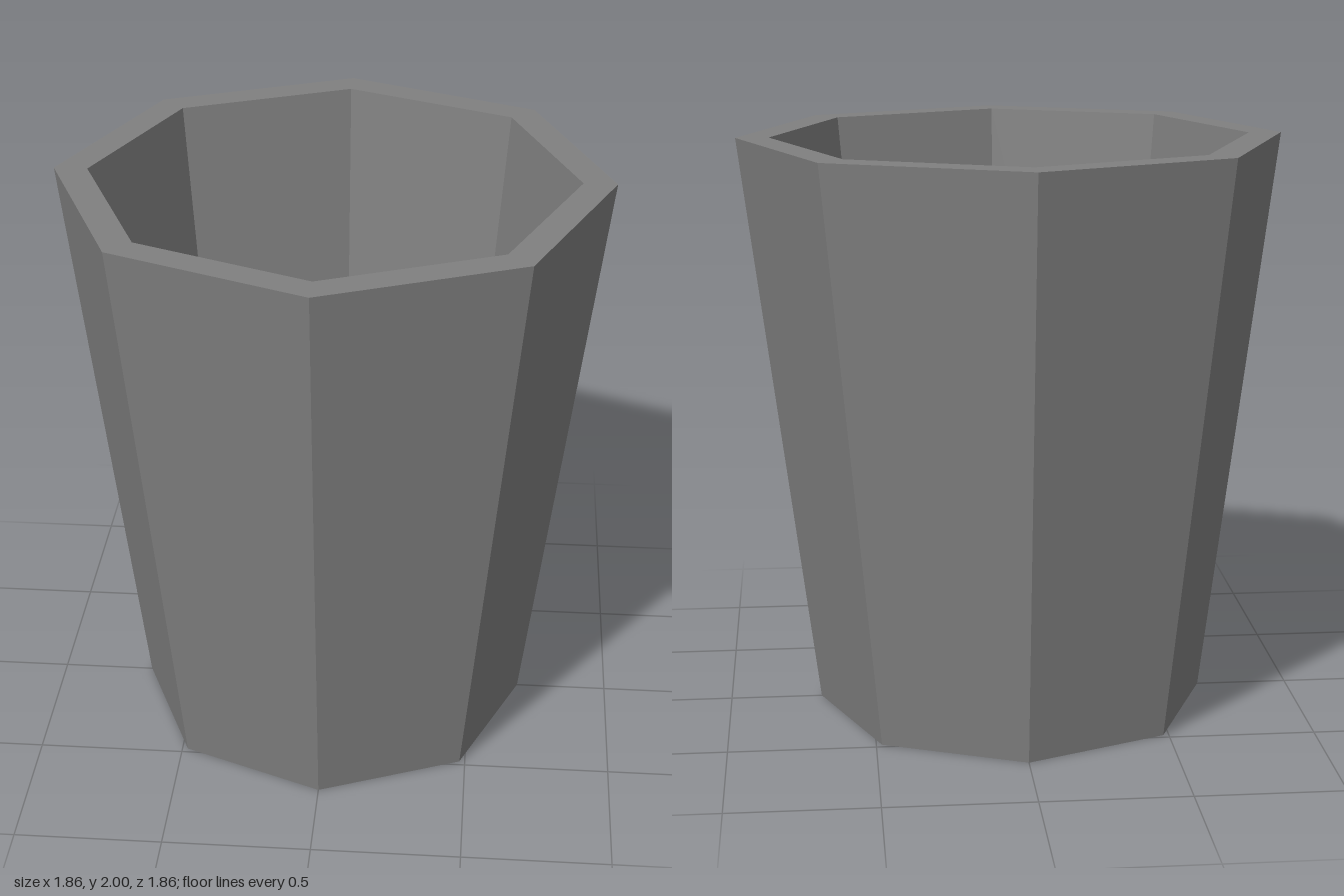
import * as THREE from 'three';

export function createModel() {
  const model = new THREE.Group();
  model.name = 'cup';

  const grey = new THREE.MeshStandardMaterial({ color: 0x808080, flatShading: true });
  grey.name = 'grey';

  // Eight-sided profile: underside, outer wall, rim, inner wall, floor
  const profile = [
    [0, 0], [0.68, 0], [0.93, 2], [0.818, 2], [0.603, 0.06], [0, 0.06],
  ].map(([r, y]) => new THREE.Vector2(r, y));

  const body = new THREE.Mesh(new THREE.LatheGeometry(profile, 8), grey);
  body.name = 'cupBody';
  model.add(body);

  return model;
}
